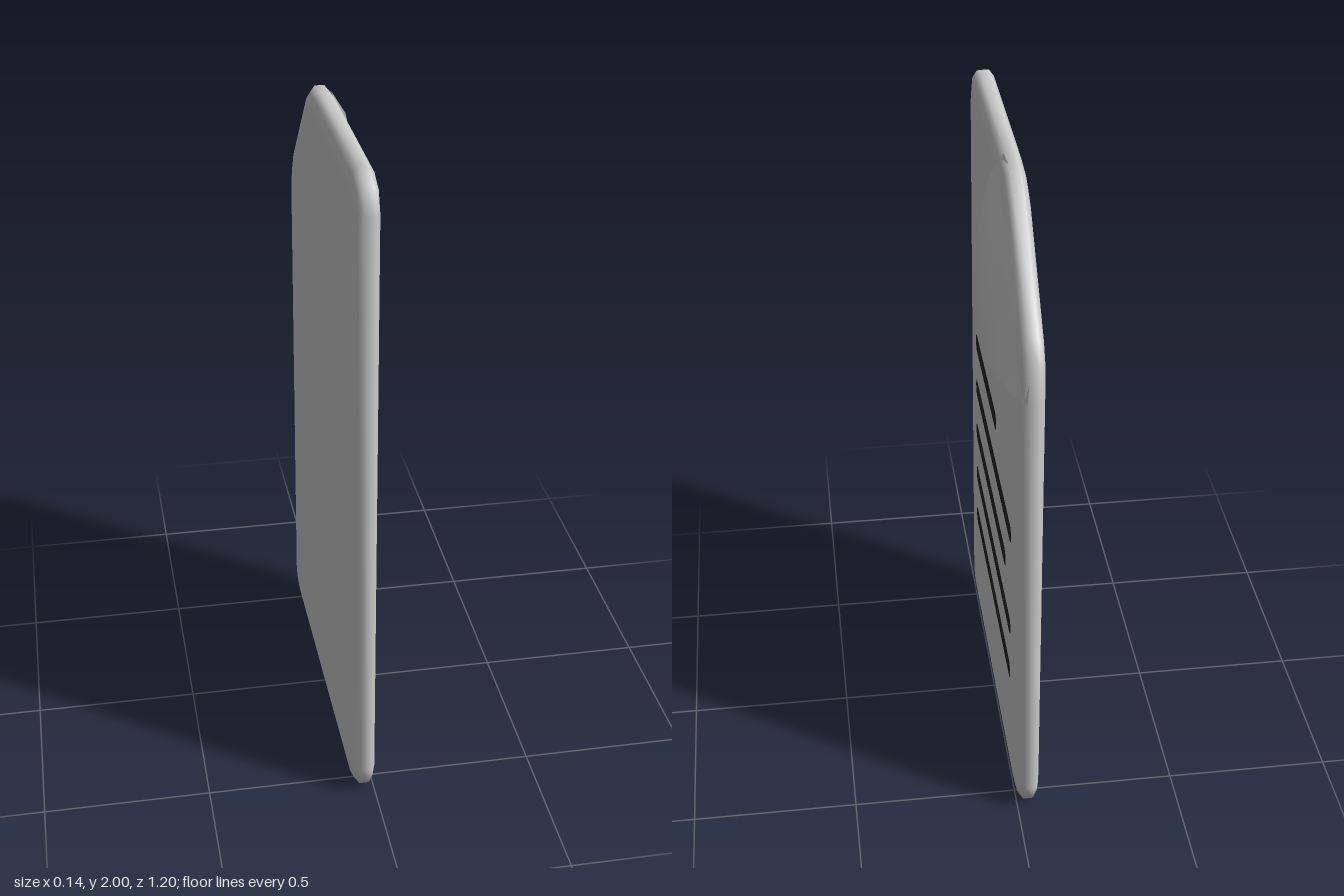
import * as THREE from 'three';

const paper = new THREE.MeshStandardMaterial({ color: 0xcccccc, side: THREE.DoubleSide });
paper.name = 'paper grey';
const ink = new THREE.MeshStandardMaterial({ color: 0x222222 });
ink.name = 'ink black';

// Page outline, counter-clockwise, with the folded corner cut off at top right
const outline = [
  [-0.6, 0.1], [-0.57, 0.03], [-0.5, 0], [0.5, 0], [0.57, 0.03], [0.6, 0.1],
  [0.6, 1.5], [0.59, 1.6], [0.55, 1.67], [0.27, 1.95], [0.2, 1.99], [0.1, 2],
  [-0.5, 2], [-0.57, 1.97], [-0.6, 1.9],
].map(([x, y]) => new THREE.Vector2(x, y));

// Moves every edge of the outline inwards by d
function inset(points, d) {
  const n = points.length;
  return points.map((p, i) => {
    const a = p.clone().sub(points[(i + n - 1) % n]).normalize();
    const b = points[(i + 1) % n].clone().sub(p).normalize();
    const na = new THREE.Vector2(-a.y, a.x);
    const nb = new THREE.Vector2(-b.y, b.x);
    const k = d / (1 + na.dot(nb));
    return p.clone().addScaledVector(na.add(nb), k);
  });
}

function meshFrom(name, positions, index, material) {
  const g = new THREE.BufferGeometry();
  g.setAttribute('position', new THREE.Float32BufferAttribute(positions, 3));
  g.setIndex(index);
  g.computeVertexNormals();
  const m = new THREE.Mesh(g, material);
  m.name = name;
  return m;
}

// Sheet with a soft rounded rim: stacked inset outlines closed by two fans
function makePage() {
  const rings = [[0.065, -0.07], [0.02, -0.062], [0, -0.047], [0, -0.018], [0.02, -0.003], [0.065, 0.005]];
  const pos = [], idx = [], n = outline.length;
  for (const [d, z] of rings) for (const p of inset(outline, d)) pos.push(p.x, p.y, z);
  for (let r = 0; r < rings.length - 1; r++) {
    for (let i = 0; i < n; i++) {
      const a = r * n + i, b = r * n + (i + 1) % n;
      idx.push(a, b, b + n, a, b + n, a + n);
    }
  }
  const back = pos.length / 3, front = back + 1, top = (rings.length - 1) * n;
  pos.push(0, 1, -0.07, 0, 1, 0.005);
  for (let i = 0; i < n; i++) {
    const j = (i + 1) % n;
    idx.push(back, j, i, front, top + i, top + j);
  }
  return meshFrom('page', pos, idx, paper);
}

// Folded corner: rows run along the diagonal crease, listed by
// distance from it, half width, height at the ends and height in the middle
const foldRows = [
  [0, 0.198, -0.022, -0.022], [0.021, 0.276, -0.022, 0.0], [0.085, 0.354, -0.012, 0.018],
  [0.13, 0.308, 0.027, 0.035], [0.21, 0.228, 0.053, 0.055], [0.28, 0.158, 0.064, 0.064],
  [0.33, 0.108, 0.066, 0.066], [0.368, 0.07, 0.066, 0.066], [0.392, 0.012, 0.065, 0.065],
];

function makeFold() {
  const group = new THREE.Group();
  group.name = 'foldedCorner';
  const steps = 8, h = Math.SQRT1_2;
  const point = (row, t) => {
    const [d, w, end, mid] = row;
    return [0.41 - d * h - t * w * h, 1.81 - d * h + t * w * h, end + (mid - end) * (1 - t * t)];
  };
  const pos = [], idx = [], cols = steps + 1;
  for (const row of foldRows) for (let i = 0; i <= steps; i++) pos.push(...point(row, 1 - 2 * i / steps));
  for (let r = 0; r < foldRows.length - 1; r++) {
    for (let i = 0; i < steps; i++) {
      const a = r * cols + i, b = a + cols;
      idx.push(a, b, b + 1, a, b + 1, a + 1);
    }
  }
  group.add(meshFrom('foldTop', pos, idx, paper));

  // Edge wall that drops from the rim of the flap to the page
  const free = foldRows.slice(2);
  const rim = [...free.map((r) => point(r, 1)), ...free.map((r) => point(r, -1)).reverse()];
  const wall = [], wallIdx = [];
  rim.forEach(([x, y, z], i) => {
    wall.push(x, y, z, x, y, Math.min(z, 0));
    if (i) wallIdx.push(2 * i - 2, 2 * i - 1, 2 * i + 1, 2 * i - 2, 2 * i + 1, 2 * i);
  });
  group.add(meshFrom('foldEdge', wall, wallIdx, paper));
  return group;
}

// Flat round-ended stroke
function makeLine(y, end) {
  const r = 0.03, start = -0.41;
  const s = new THREE.Shape();
  s.absarc(end - r, y, r, -Math.PI / 2, Math.PI / 2, false);
  s.absarc(start + r, y, r, Math.PI / 2, Math.PI * 1.5, false);
  const m = new THREE.Mesh(new THREE.ShapeGeometry(s, 6), ink);
  m.position.z = 0.008;
  m.name = 'textLine';
  return m;
}

export function createModel() {
  const model = new THREE.Group();
  model.name = 'document';
  const sheet = new THREE.Group();
  sheet.name = 'sheet';
  sheet.add(makePage(), makeFold());
  [0.105, 0.445, 0.33, 0.445, 0.445].forEach((end, i) => sheet.add(makeLine(1.12 - i * 0.171, end)));
  // The written side faces +x
  sheet.rotation.y = Math.PI / 2;
  model.add(sheet);
  return model;
}
